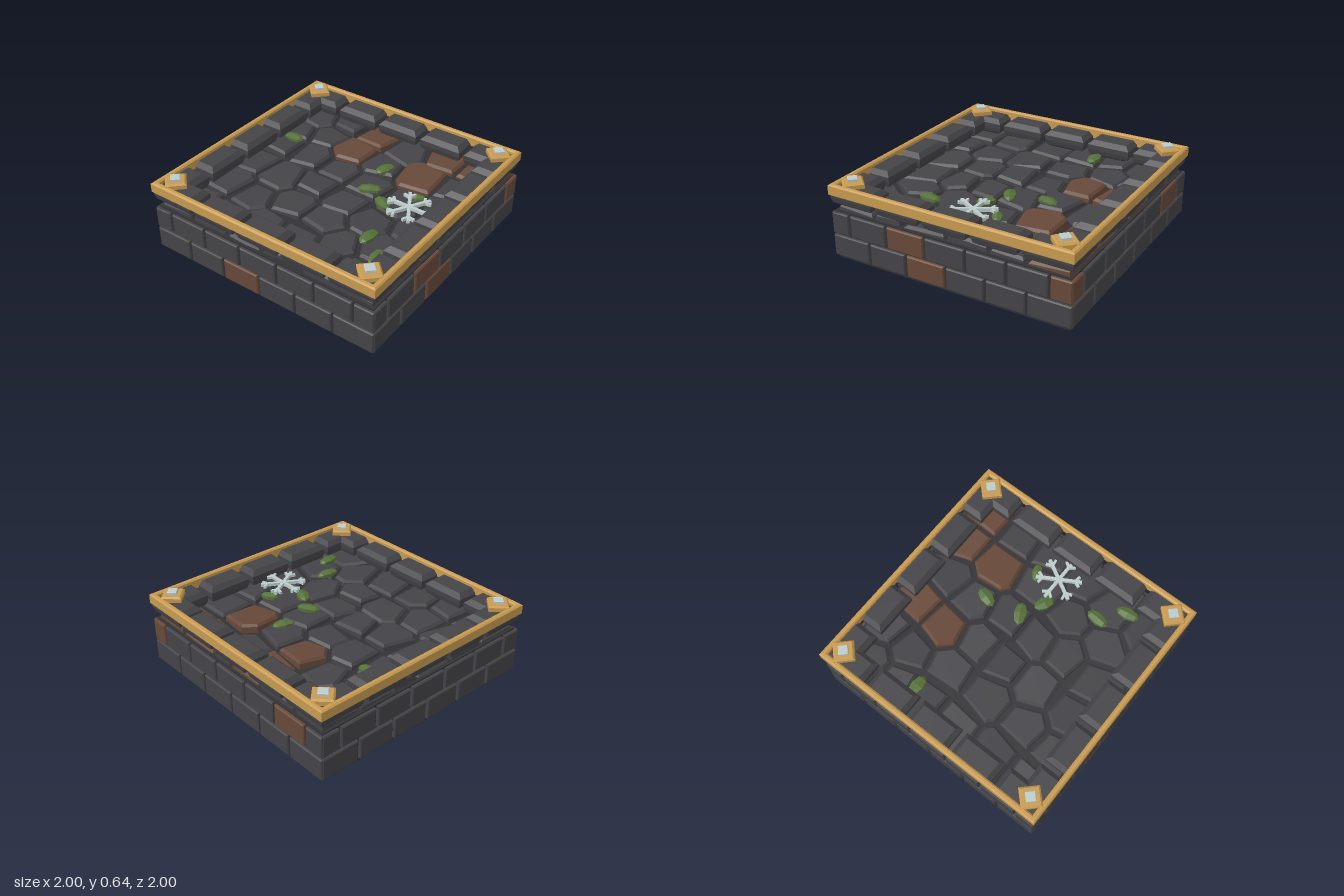
import * as THREE from 'three';

const mat = (name, color) => Object.assign(new THREE.MeshStandardMaterial({ color, flatShading: true }), { name });

// Outline of a rectangle in the xz plane
const rect = (x0, z0, x1, z1) => [[x0, z0], [x0, z1], [x1, z1], [x1, z0]];

// Move every edge of a convex outline inwards by d
function inset(poly, d) {
  const n = poly.length;
  const normal = (a, b) => {
    const dx = b[0] - a[0], dz = b[1] - a[1], l = Math.hypot(dx, dz);
    return [dz / l, -dx / l];
  };
  return poly.map((p, i) => {
    const m = normal(poly[(i + n - 1) % n], p), k = normal(p, poly[(i + 1) % n]);
    const s = d / (1 + m[0] * k[0] + m[1] * k[1]);
    return [p[0] + (m[0] + k[0]) * s, p[1] + (m[1] + k[1]) * s];
  });
}

// Closed block from an outline and layers of [inset, height]
function block(poly, layers) {
  const pos = [], n = poly.length;
  const rings = layers.map(([d, y]) => inset(poly, d).map(([x, z]) => [x, y, z]));
  const tri = (a, b, c) => pos.push(...a, ...b, ...c);
  for (let r = 0; r + 1 < rings.length; r++) {
    const lo = rings[r], up = rings[r + 1];
    for (let i = 0; i < n; i++) {
      const j = (i + 1) % n;
      tri(lo[i], lo[j], up[j]);
      tri(lo[i], up[j], up[i]);
    }
  }
  const bottom = rings[0], top = rings[rings.length - 1];
  for (let i = 1; i + 1 < n; i++) {
    tri(top[0], top[i], top[i + 1]);
    tri(bottom[0], bottom[i + 1], bottom[i]);
  }
  const g = new THREE.BufferGeometry();
  g.setAttribute('position', new THREE.Float32BufferAttribute(pos, 3));
  g.computeVertexNormals();
  return g;
}

// Part of an outline that lies nearer to a than to b
function clipNearer(poly, a, b) {
  const nx = b[0] - a[0], nz = b[1] - a[1];
  const side = p => (p[0] - (a[0] + b[0]) / 2) * nx + (p[1] - (a[1] + b[1]) / 2) * nz;
  const out = [];
  poly.forEach((p, i) => {
    const q = poly[(i + 1) % poly.length], s = side(p), t = side(q);
    if (s <= 0) out.push(p);
    if (s * t < 0) {
      const f = s / (s - t);
      out.push([p[0] + (q[0] - p[0]) * f, p[1] + (q[1] - p[1]) * f]);
    }
  });
  return out;
}

export function createModel() {
  const model = new THREE.Group();
  const stone = mat('darkStone', 0x444347), mortar = mat('mortar', 0x323135);
  const brown = mat('brownStone', 0x664838), gold = mat('gold', 0xc79a50);
  const silver = mat('paleSilver', 0xbccbca), green = mat('moss', 0x56713a);

  const add = (name, geometry, material, parent = model) => {
    const mesh = new THREE.Mesh(geometry, material);
    mesh.name = name;
    parent.add(mesh);
    return mesh;
  };
  const group = name => {
    const g = new THREE.Group();
    g.name = name;
    model.add(g);
    return g;
  };

  // Solid base behind the bricks
  add('baseCore', new THREE.BoxGeometry(1.94, 0.39, 1.94).translate(0, 0.195, 0), mortar);

  // Two rows of bricks on each side; brown ones listed as side, row, number
  const walls = group('brickWalls');
  const rows = [
    { y: 0.025, edges: [-0.995, -0.66, -0.335, 0, 0.325, 0.65, 1] },
    { y: 0.21, edges: [-0.995, -0.83, -0.5, -0.17, 0.17, 0.495, 0.82, 1] },
  ];
  const brownBricks = ['0,0,2', '0,1,2', '0,1,6', '1,1,0', '1,1,5', '3,0,2'];
  for (let side = 0; side < 4; side++) {
    rows.forEach(({ y, edges }, r) => {
      for (let i = 0; i + 1 < edges.length; i++) {
        const outline = rect(edges[i] + 0.01, -y - 0.17, edges[i + 1] - 0.01, -y);
        const g = block(outline, [[0, 0.93], [0, 0.987], [0.008, 0.995]]);
        g.rotateX(Math.PI / 2).rotateY(side * Math.PI / 2);
        add('brick', g, brownBricks.includes(`${side},${r},${i}`) ? brown : stone, walls);
      }
    });
  }

  // Floor of irregular cobbles: one cell around each centre
  const seeds = [
    [-0.76, -0.74], [-0.44, -0.74], [-0.08, -0.75], [0.22, -0.74], [0.47, -0.78], [0.73, -0.75],
    [-0.79, -0.5], [-0.5, -0.46], [-0.15, -0.45], [0.21, -0.45], [0.55, -0.53], [0.82, -0.48],
    [-0.73, -0.19], [-0.38, -0.16], [-0.07, -0.16], [0.18, -0.14], [0.46, -0.2], [0.77, -0.17],
    [-0.68, 0.13], [-0.41, 0.18], [-0.15, 0.15], [0.13, 0.15], [0.42, 0.09], [0.7, 0.15],
    [-0.59, 0.41], [-0.25, 0.43], [0.08, 0.5], [0.46, 0.43], [0.8, 0.46],
    [-0.78, 0.66], [-0.46, 0.67], [-0.16, 0.77], [0.17, 0.8], [0.47, 0.77], [0.79, 0.78],
  ];
  const brownCobbles = [16, 17, 27, 28, 34];
  const floor = group('cobbleFloor');
  seeds.forEach((s, i) => {
    let cell = rect(-0.965, -0.965, 0.965, 0.965);
    seeds.forEach(o => { if (o !== s) cell = clipNearer(cell, s, o); });
    // Drop very short edges
    cell = cell.filter((p, k) => {
      const q = cell[(k + 1) % cell.length];
      return Math.hypot(p[0] - q[0], p[1] - q[1]) > 0.08;
    });
    const top = 0.435 + 0.012 * Math.sin(i * 2.4);
    const g = block(cell, [[0.016, 0.38], [0.018, top - 0.02], [0.036, top]]);
    // Slight tilt of the upper face
    const p = g.attributes.position, tx = 0.07 * Math.sin(i * 1.7), tz = 0.07 * Math.cos(i * 2.9);
    for (let k = 0; k < p.count; k++) {
      if (p.getY(k) > 0.39) p.setY(k, p.getY(k) + tx * (p.getX(k) - s[0]) + tz * (p.getZ(k) - s[1]));
    }
    g.computeVertexNormals();
    add('cobble', g, brownCobbles.includes(i) ? brown : stone, floor);
  });

  // Chamfered rim stones, five along each side
  const rim = group('rimStones');
  const rimLayers = [[0.045, 0.43], [0.012, 0.455], [0, 0.495], [0, 0.535], [0.037, 0.57]];
  for (let side = 0; side < 4; side++) {
    for (let i = -2; i <= 2; i++) {
      const x0 = i === -2 ? -0.99 : i * 0.4 - 0.18, x1 = i === 2 ? 0.99 : i * 0.4 + 0.18;
      const g = block(rect(x0, 0.775, x1, 0.99), rimLayers).rotateY(side * Math.PI / 2);
      add('rimStone', g, stone, rim);
    }
  }

  // Gold frame with bevelled edges
  const square = (Type, h) => new Type([[-h, -h], [h, -h], [h, h], [-h, h]].map(p => new THREE.Vector2(...p)));
  const frame = square(THREE.Shape, 0.988);
  frame.holes.push(square(THREE.Path, 0.967));
  add('goldFrame', new THREE.ExtrudeGeometry(frame, {
    depth: 0.07, bevelThickness: 0.01, bevelSize: 0.012, bevelSegments: 1,
  }).rotateX(-Math.PI / 2).translate(0, 0.52, 0), gold);

  // Diamond studs on the corners
  const diamond = r => [[-r, 0], [0, r], [r, 0], [0, -r]];
  for (const x of [-0.87, 0.87]) {
    for (const z of [-0.87, 0.87]) {
      const stud = group('cornerStud');
      stud.position.set(x, 0, z);
      add('studPlate', block(diamond(0.11), [[0, 0.55], [0, 0.602], [0.012, 0.614]]), gold, stud);
      add('studGem', block(diamond(0.052), [[0, 0.6], [0, 0.632], [0.004, 0.636]]), silver, stud);
    }
  }

  // Moss tufts: x, z, length, width, turn
  const moss = group('mossTufts');
  for (const [x, z, l, w, turn] of [
    [0.315, -0.71, 0.09, 0.055, 1.57], [0.07, 0.22, 0.095, 0.055, -1.1], [0.36, 0.165, 0.09, 0.055, -0.3],
    [-0.025, 0.4, 0.085, 0.055, 1.1], [0.175, 0.57, 0.075, 0.045, -1.1], [-0.42, 0.55, 0.095, 0.052, -0.08],
    [-0.58, 0.725, 0.095, 0.052, 0.15],
  ]) {
    const g = new THREE.SphereGeometry(1, 6, 4).rotateZ(Math.PI / 2).scale(l, 0.033, w);
    const tuft = add('mossTuft', g, green, moss);
    tuft.position.set(x, 0.447, z);
    tuft.rotation.y = turn;
  }

  // Six-armed snow crystal lying on the floor
  const crystal = group('snowCrystal');
  crystal.position.set(0, 0.485, 0.615);
  for (let i = 0; i < 6; i++) {
    const arm = new THREE.Group();
    arm.name = 'crystalArm';
    arm.rotation.y = Math.PI / 2 + i * Math.PI / 3;
    crystal.add(arm);
    add('armBar', new THREE.BoxGeometry(0.18, 0.025, 0.026).translate(0.09, 0, 0), silver, arm);
    for (const s of [-1, 1]) {
      const twig = add('armTwig', new THREE.BoxGeometry(0.055, 0.022, 0.02).translate(0.0275, 0, 0), silver, arm);
      twig.position.x = 0.125;
      twig.rotation.y = s * 0.9;
    }
  }

  return model;
}
